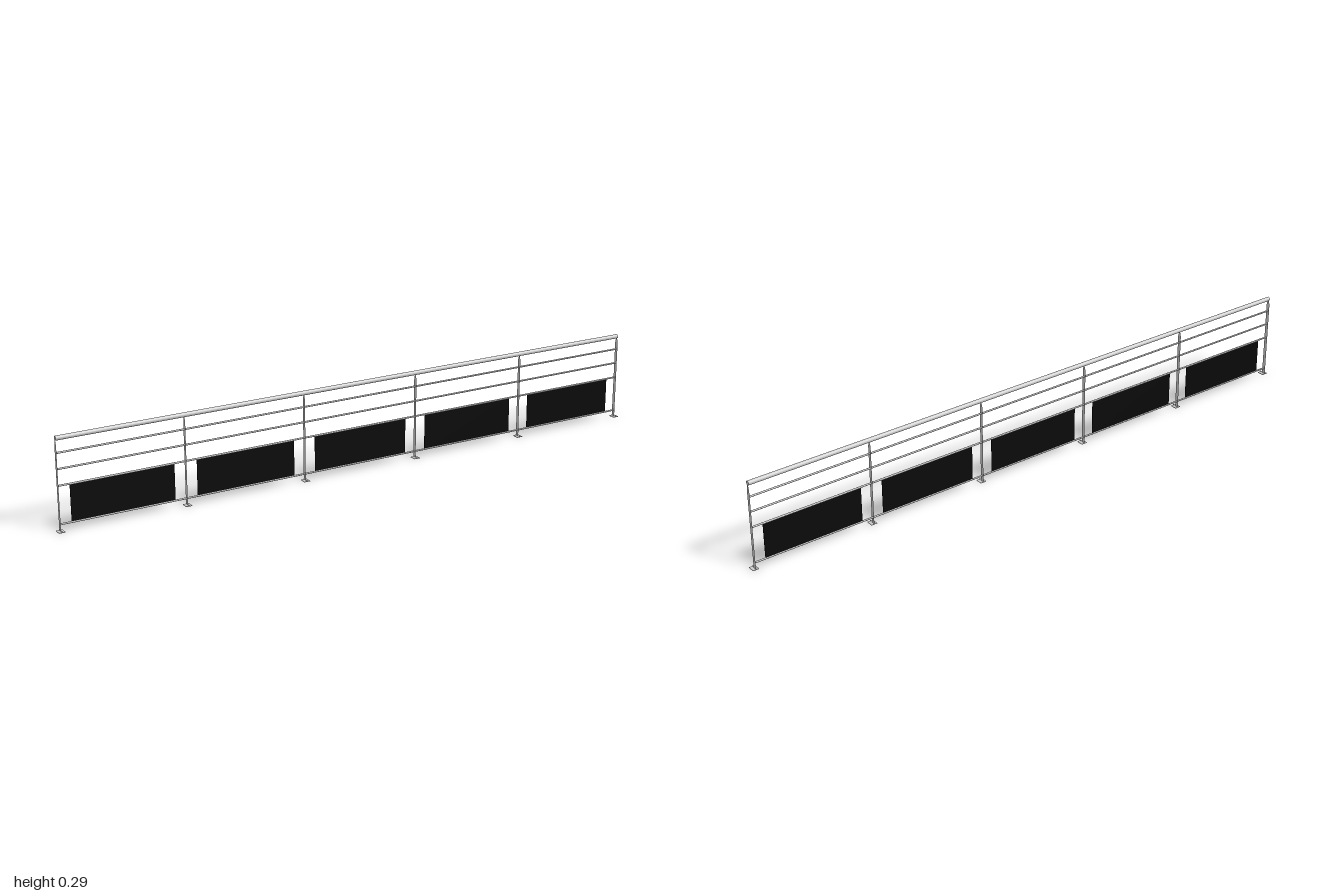
import * as THREE from 'three';

const POSTS = 6;
const END_X = 0.99;
const SPACING = (2 * END_X) / (POSTS - 1);
const RAIL_Z = -0.0045;

export function createModel() {
  const group = new THREE.Group();
  group.name = 'railing';
  const grey = new THREE.MeshStandardMaterial({ color: 0xcccccc });
  const greyThin = new THREE.MeshStandardMaterial({ color: 0xcccccc, side: THREE.DoubleSide });
  const black = new THREE.MeshStandardMaterial({ color: 0x0a0a0a });

  const add = (parent, name, geometry, material, x, y, z) => {
    const mesh = new THREE.Mesh(geometry, material);
    mesh.name = name;
    mesh.position.set(x, y, z);
    parent.add(mesh);
    return mesh;
  };

  // Handrail and the thinner horizontal rails
  const rail = (name, y, radius, sides) => {
    const geometry = new THREE.CylinderGeometry(radius, radius, 2 * END_X, sides).rotateZ(Math.PI / 2);
    add(group, name, geometry, grey, 0, y, RAIL_Z);
  };
  rail('handrail', 0.279, 0.007, 20);
  [0.235, 0.187, 0.137, 0.021].forEach((y, i) => rail('rail' + (i + 1), y, 0.0028, 12));

  // Flat-bar post outline, tapering to the handrail
  const h = 0.0063;
  const outline = new THREE.Shape();
  outline.moveTo(-h, 0);
  outline.lineTo(h, 0);
  outline.lineTo(h, 0.256);
  outline.quadraticCurveTo(h * 0.85, 0.265, 0.0018, 0.272);
  outline.lineTo(-0.0018, 0.272);
  outline.quadraticCurveTo(-h * 0.85, 0.265, -h, 0.256);
  outline.closePath();
  const postGeometry = new THREE.ShapeGeometry(outline, 6).rotateY(Math.PI / 2);
  const plateGeometry = new THREE.BoxGeometry(0.02, 0.0015, 0.023);
  const boltGeometry = new THREE.CylinderGeometry(0.0013, 0.0013, 0.004, 8);

  // Posts with bolted base plates
  for (let i = 0; i < POSTS; i++) {
    const post = new THREE.Group();
    post.name = 'post' + (i + 1);
    post.position.x = -END_X + i * SPACING;
    add(post, 'postBar', postGeometry, greyThin, 0, 0, RAIL_Z);
    add(post, 'basePlate', plateGeometry, grey, 0, 0.00075, 0);
    for (const z of [-0.0095, 0.0098]) add(post, 'bolt', boltGeometry, grey, 0, 0.0025, z);
    group.add(post);
  }

  // Dark infill panels between the two lowest rails
  const panelGeometry = new THREE.BoxGeometry(0.324, 0.116, 0.0015);
  for (let i = 0; i < POSTS - 1; i++) {
    add(group, 'infillPanel' + (i + 1), panelGeometry, black, -END_X + (i + 0.5) * SPACING, 0.079, RAIL_Z);
  }

  return group;
}
